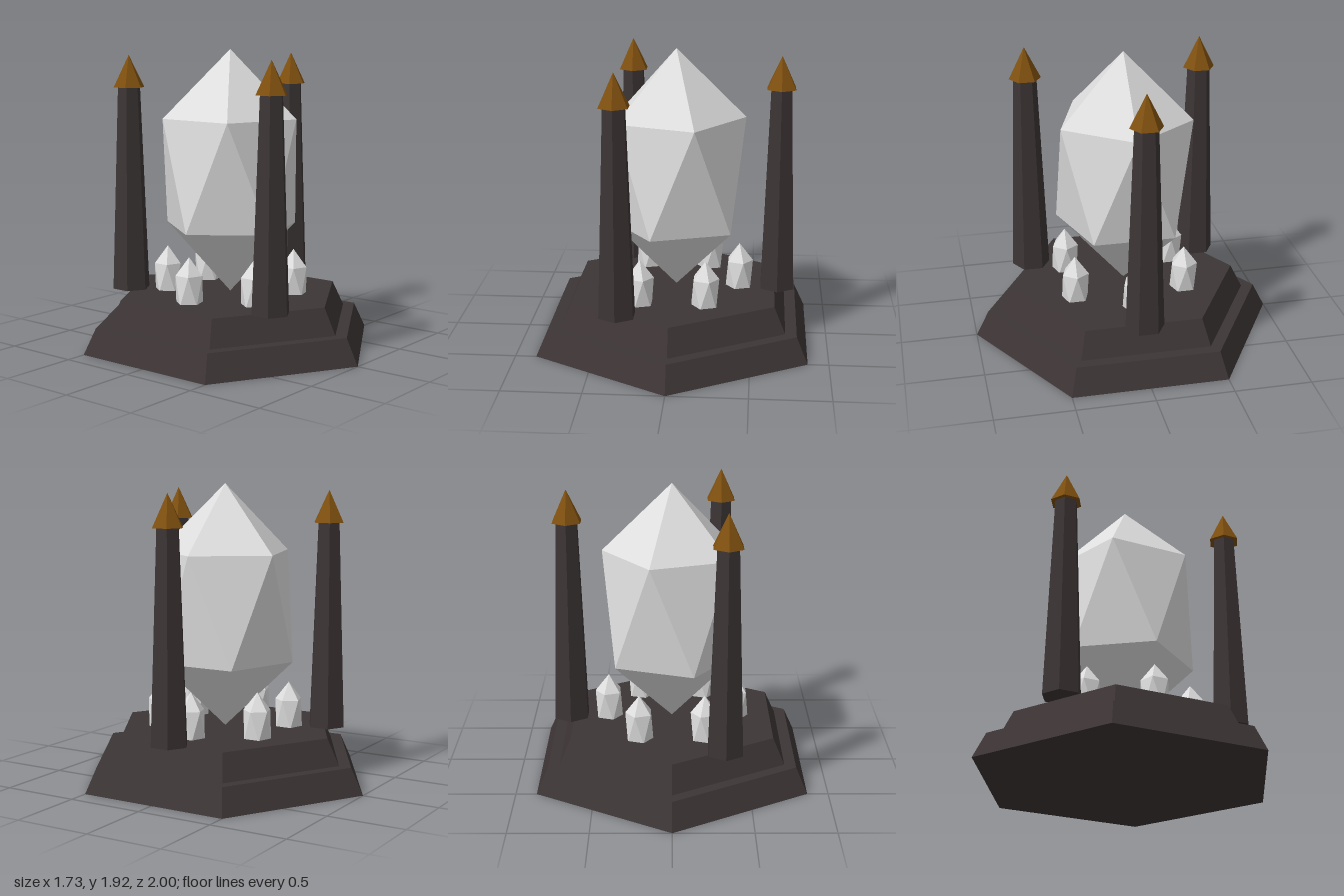
import * as THREE from 'three';

const stone = new THREE.MeshStandardMaterial({ color: 0x3d3535, flatShading: true });
stone.name = 'darkStone';
const crystalMat = new THREE.MeshStandardMaterial({ color: 0xdedede, flatShading: true });
crystalMat.name = 'paleCrystal';
const bronze = new THREE.MeshStandardMaterial({ color: 0x80500f, flatShading: true });
bronze.name = 'bronze';

function part(name, geometry, material, x, y, z) {
  const mesh = new THREE.Mesh(geometry, material);
  mesh.name = name;
  mesh.position.set(x, y, z);
  return mesh;
}

// Six-sided tapered block
const hex = (top, bottom, height) => new THREE.CylinderGeometry(top, bottom, height, 6);

// Pole-up icosahedron stretched vertically: two tips and two staggered rings of five
function crystalGeometry(radius, halfHeight) {
  const ringR = radius * 2 / Math.sqrt(5);
  const ringY = halfHeight / Math.sqrt(5);
  const ring = (i, offset, y) => {
    const a = (i + offset) * Math.PI * 2 / 5;
    return [ringR * Math.cos(a), y, -ringR * Math.sin(a)];
  };
  const tip = [0, halfHeight, 0], foot = [0, -halfHeight, 0];
  const positions = [];
  for (let i = 0; i < 5; i++) {
    const u0 = ring(i, 0, ringY), u1 = ring(i + 1, 0, ringY);
    const l0 = ring(i, 0.5, -ringY), l1 = ring(i + 1, 0.5, -ringY);
    positions.push(
      ...tip, ...u0, ...u1,
      ...u0, ...l0, ...u1,
      ...l0, ...l1, ...u1,
      ...l0, ...foot, ...l1
    );
  }
  const g = new THREE.BufferGeometry();
  g.setAttribute('position', new THREE.Float32BufferAttribute(positions, 3));
  g.computeVertexNormals();
  return g;
}

export function createModel() {
  const model = new THREE.Group();
  model.name = 'crystalShrine';

  // Stepped hexagonal base
  model.add(part('lowerStep', hex(0.917, 1, 0.1667), stone, 0, 0.0833, 0));
  model.add(part('upperStep', hex(0.75, 0.833, 0.1667), stone, 0, 0.25, 0));

  // Large central crystal balanced on its tip
  model.add(part('mainCrystal', crystalGeometry(0.5, 0.7917), crystalMat, 0, 1.125, 0));

  // Ring of small crystals sunk into the base
  const shard = crystalGeometry(0.1, 0.2083);
  for (let i = 0; i < 6; i++) {
    const a = i * Math.PI / 3;
    model.add(part('smallCrystal', shard, crystalMat, 0.4167 * Math.cos(a), 0.4167, 0.4167 * Math.sin(a)));
  }

  // Three tapered pillars with pointed caps
  const shaft = hex(0.075, 0.125, 1.3333);
  const cap = new THREE.ConeGeometry(0.104, 0.2083, 6);
  for (let i = 0; i < 3; i++) {
    const a = i * Math.PI * 2 / 3;
    const pillar = new THREE.Group();
    pillar.name = 'pillar';
    pillar.position.set(0.6667 * Math.cos(a), 0.3333, 0.6667 * Math.sin(a));
    pillar.add(part('pillarShaft', shaft, stone, 0, 0.6667, 0));
    pillar.add(part('pillarCap', cap, bronze, 0, 1.4375, 0));
    model.add(pillar);
  }
  return model;
}
